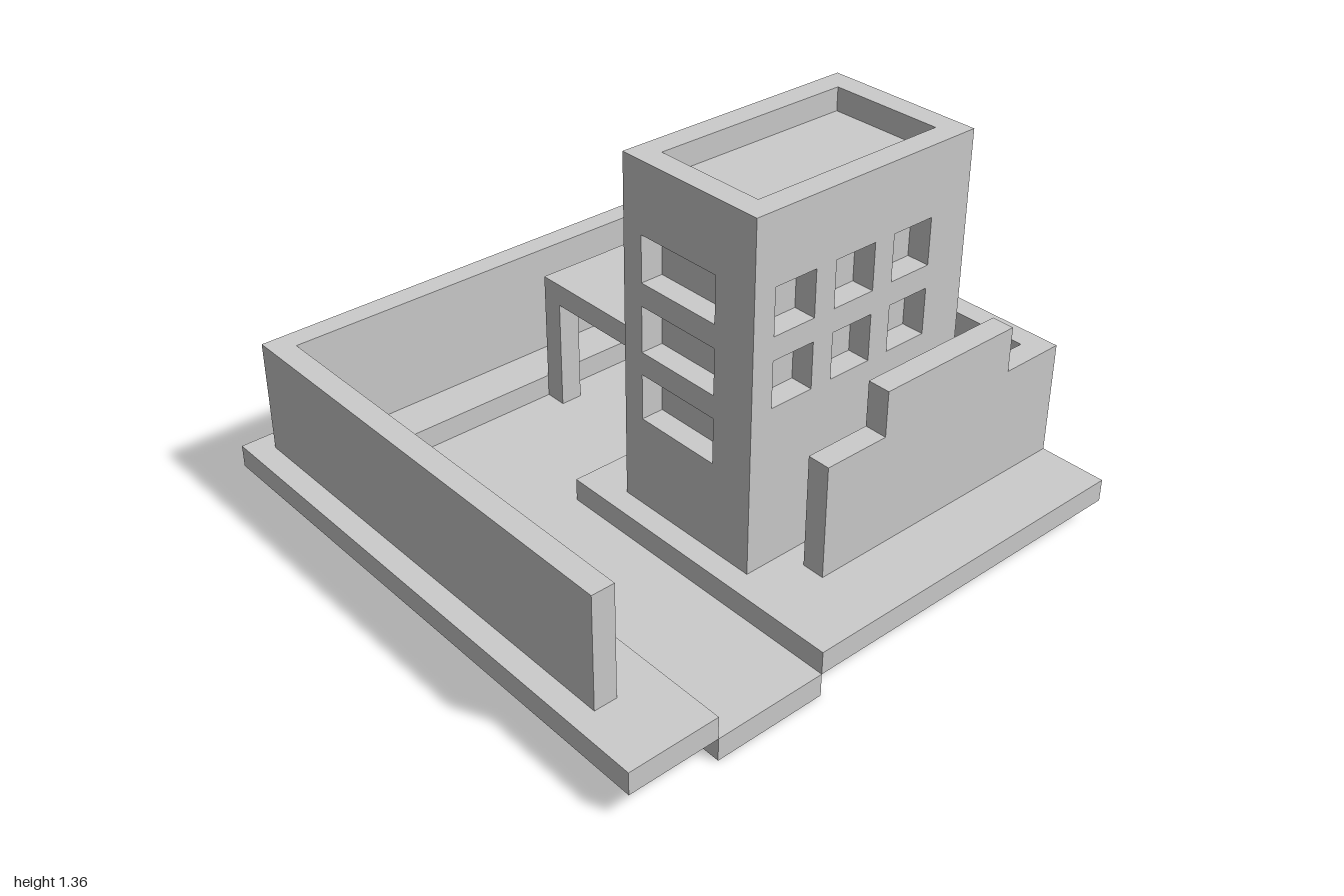
import * as THREE from 'three';

const mat = new THREE.MeshStandardMaterial({ color: 0xcccccc, flatShading: true });

function add(parent, name, geo) {
  const m = new THREE.Mesh(geo, mat);
  m.name = name;
  parent.add(m);
  return m;
}

// box given by its extents on each axis
function block(parent, name, [x0, x1], [y0, y1], [z0, z1]) {
  const m = add(parent, name, new THREE.BoxGeometry(x1 - x0, y1 - y0, z1 - z0));
  m.position.set((x0 + x1) / 2, (y0 + y1) / 2, (z0 + z1) / 2);
  return m;
}

const poly = (pts) => new THREE.Shape(pts.map(([a, b]) => new THREE.Vector2(a, b)));
const rect = (x0, x1, y0, y1) => [[x0, y0], [x1, y0], [x1, y1], [x0, y1]];
const extrude = (shape, depth) => new THREE.ExtrudeGeometry(shape, { depth, bevelEnabled: false });

// horizontal plate from a plan outline of [x, z] points
function plate(parent, name, plan, y, h) {
  const m = add(parent, name, extrude(poly(plan.map(([x, z]) => [x, -z])), h));
  m.rotation.x = -Math.PI / 2;
  m.position.y = y;
}

const T = 0.08; // common thickness

// wall panel with a grid of window openings
function panel(parent, name, [a0, a1], columns, rows) {
  const shape = poly(rect(a0, a1, 0.16, 1.36));
  for (const [c0, c1] of columns)
    for (const r of rows) shape.holes.push(new THREE.Path(poly(rect(c0, c1, r, r + 0.16)).getPoints()));
  return add(parent, name, extrude(shape, T));
}

export function createModel() {
  const model = new THREE.Group();
  model.name = 'walledTowerCompound';

  // ground: raised slab cut by an L-shaped sunken driveway
  plate(model, 'groundSlab', [
    [-1, 1], [-0.68, 1], [-0.68, -0.68], [0.84, -0.68], [0.84, -0.12],
    [-0.28, -0.12], [-0.28, 1], [1, 1], [1, -1], [-1, -1],
  ], 0.08, T);
  plate(model, 'sunkenDriveway', [
    [-0.68, 1], [-0.28, 1], [-0.28, -0.12], [0.84, -0.12], [0.84, -0.68], [-0.68, -0.68],
  ], 0, T);

  // perimeter walls
  const walls = new THREE.Group();
  walls.name = 'perimeterWalls';
  model.add(walls);
  plate(walls, 'sideAndBackWalls', [
    [-0.92, 0.76], [-0.84, 0.76], [-0.84, -0.84], [0.92, -0.84],
    [0.92, 0.68], [1, 0.68], [1, -0.92], [-0.92, -0.92],
  ], 0.16, 0.4);
  add(walls, 'steppedFrontWall', extrude(poly([
    [-0.04, 0.16], [1, 0.16], [1, 0.56], [0.76, 0.56], [0.76, 0.72],
    [0.2, 0.72], [0.2, 0.56], [-0.04, 0.56],
  ]), T)).position.z = 0.68;

  // tower: core with window panels that rise above it as a parapet
  const tower = new THREE.Group();
  tower.name = 'tower';
  model.add(tower);
  block(tower, 'towerCore', [-0.12, 0.6], [0.16, 1.28], [0.12, 0.52]);
  panel(tower, 'towerFront', [-0.2, 0.68], [[-0.12, 0.04], [0.12, 0.28], [0.36, 0.52]], [0.72, 0.96])
    .position.z = 0.52;
  panel(tower, 'towerBack', [-0.2, 0.68], [[-0.04, 0.12], [0.28, 0.44]], [0.72, 0.96])
    .position.z = 0.04;
  const right = panel(tower, 'towerRightSide', [0.12, 0.52], [[0.12, 0.44]], [0.48, 0.72, 0.96]);
  right.rotation.y = -Math.PI / 2;
  right.position.x = -0.12;
  block(tower, 'towerLeftSide', [0.6, 0.68], [0.16, 1.36], [0.12, 0.52]);

  // carport behind the tower
  const carport = new THREE.Group();
  carport.name = 'carport';
  model.add(carport);
  block(carport, 'carportRoof', [0.04, 0.68], [0.48, 0.56], [-0.68, 0.04]);
  for (const x of [0.04, 0.6]) block(carport, 'carportPost', [x, x + T], [0.08, 0.48], [-0.68, -0.6]);

  return model;
}
